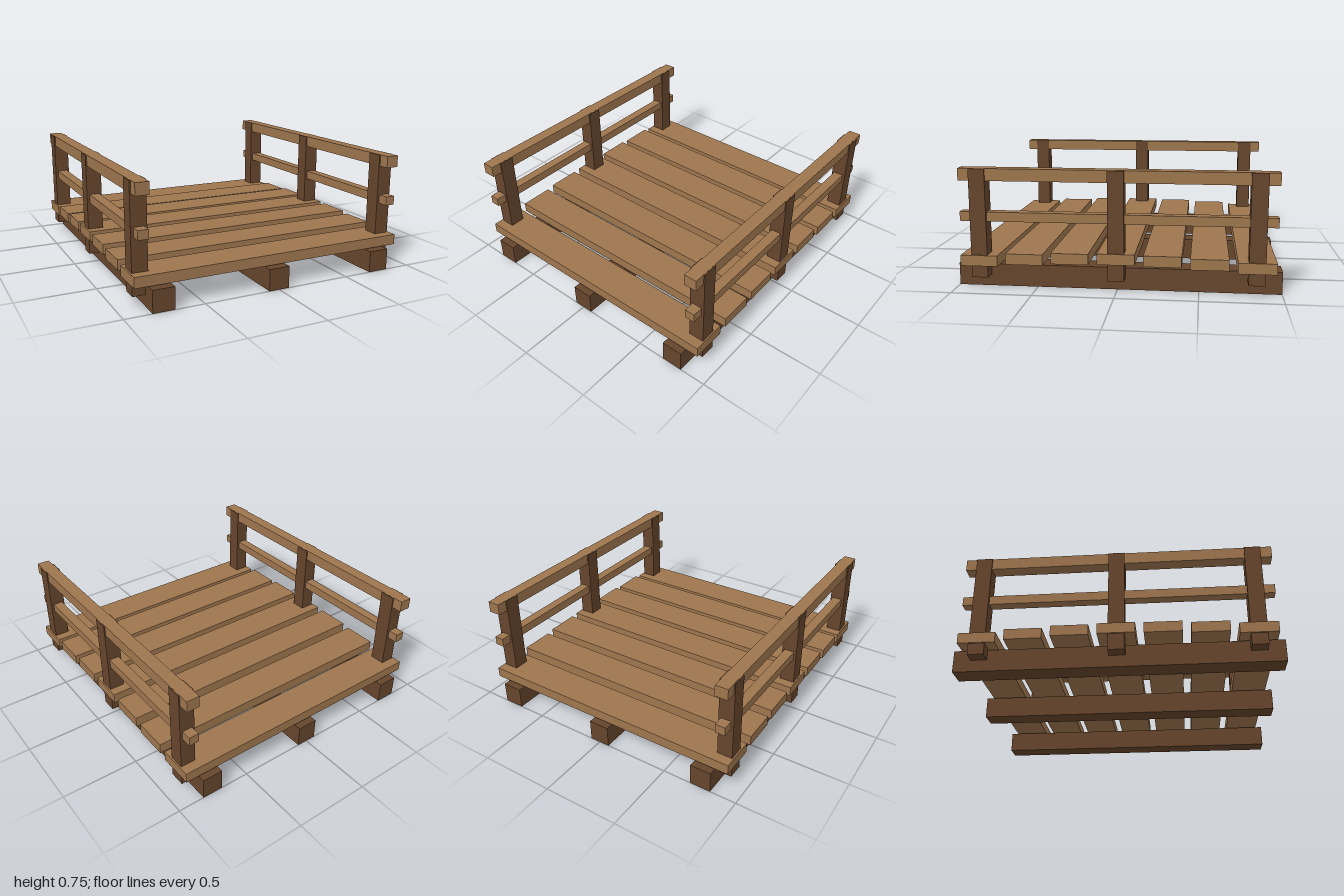
import * as THREE from 'three';

const lightWood = new THREE.MeshStandardMaterial({ color: 0x9e764e });
lightWood.name = 'lightWood';
const darkWood = new THREE.MeshStandardMaterial({ color: 0x66452c });
darkWood.name = 'darkWood';

// Squared timber of the given size, placed by its centre
function timber(name, material, size, position) {
  const mesh = new THREE.Mesh(new THREE.BoxGeometry(...size), material);
  mesh.name = name;
  mesh.position.set(...position);
  return mesh;
}

// Posts with a top rail and a middle rail, on one side of the bridge
function createRailing(side) {
  const railing = new THREE.Group();
  railing.name = side > 0 ? 'leftRailing' : 'rightRailing';
  const x = side * 0.858;
  for (const z of [-0.842, 0, 0.842]) {
    railing.add(timber('post', darkWood, [0.1, 0.675, 0.1], [x, 0.412, z]));
  }
  railing.add(timber('topRail', lightWood, [0.084, 0.075, 1.92], [x, 0.713, 0]));
  railing.add(timber('middleRail', lightWood, [0.065, 0.058, 1.92], [x, 0.454, 0]));
  return railing;
}

export function createModel() {
  const bridge = new THREE.Group();
  bridge.name = 'woodenBridge';

  // Three long beams resting on the ground
  for (const x of [-0.758, 0, 0.758]) {
    bridge.add(timber('beam', darkWood, [0.138, 0.14, 2], [x, 0.07, 0]));
  }

  // Deck planks rising in a gentle arch towards the middle
  const deck = new THREE.Group();
  deck.name = 'deck';
  const count = 7;
  for (let i = 0; i < count; i++) {
    const y = 0.182 + 0.031 * Math.sin((i / (count - 1)) * Math.PI);
    deck.add(timber('plank', lightWood, [1.836, 0.067, 0.23], [0, y, (i - 3) * 0.281]));
  }
  bridge.add(deck);

  bridge.add(createRailing(1), createRailing(-1));
  return bridge;
}
